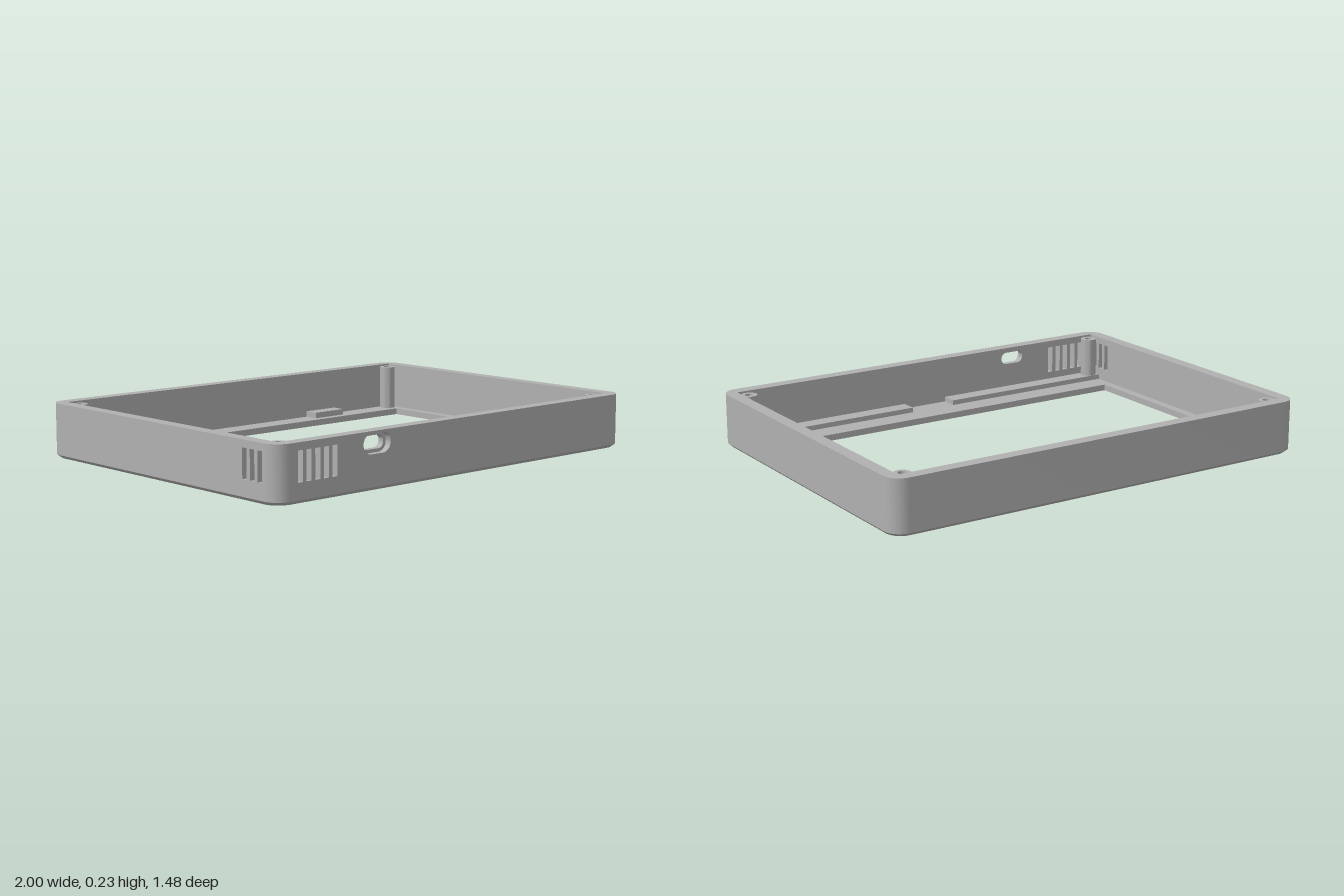
import * as THREE from 'three';
import { mergeGeometries, toCreasedNormals } from 'three/addons/utils/BufferGeometryUtils.js';

const X = 1, Z = 0.74, R = 0.07;      // outer half sizes and corner radius
const WALL = 0.055, FLOOR = 0.028, TOP = 0.235;

function rect(x0, y0, x1, y1, Type = THREE.Shape) {
  const s = new Type();
  s.moveTo(x0, y0);
  s.lineTo(x1, y0);
  s.lineTo(x1, y1);
  s.lineTo(x0, y1);
  s.closePath();
  return s;
}

// Rounded-end slot lying along x
function pill(cx, cy, w, h) {
  const p = new THREE.Path(), r = h / 2, d = w / 2 - r;
  p.absarc(cx + d, cy, r, -Math.PI / 2, Math.PI / 2, false);
  p.absarc(cx - d, cy, r, Math.PI / 2, Math.PI * 1.5, false);
  p.closePath();
  return p;
}

const vent = (u) => rect(u - 0.013, 0.082, u + 0.013, 0.204, THREE.Path);

function extrude(shape, depth, steps = 1) {
  return new THREE.ExtrudeGeometry(shape, { depth, steps, bevelEnabled: false, curveSegments: 10 });
}

// Upright wall panel with openings
function panel(half, depth, holes = []) {
  const s = rect(-half, FLOOR, half, TOP);
  s.holes.push(...holes);
  return extrude(s, depth);
}

// Vertical corner column, rounded outside
function corner(sx, sz) {
  const s = new THREE.Shape();
  s.moveTo(X - R, Z - WALL);
  s.lineTo(X - WALL, Z - WALL);
  s.lineTo(X - WALL, Z - R);
  s.lineTo(X, Z - R);
  s.absarc(X - R, Z - R, R, 0, Math.PI / 2, false);
  s.closePath();
  const pts = s.getPoints(10).map((p) => new THREE.Vector2(p.x * sx, -p.y * sz));
  const g = extrude(new THREE.Shape(pts), TOP - FLOOR);
  return g.rotateX(-Math.PI / 2).translate(0, FLOOR, 0);
}

// Bezel with the window opening and a chamfered lower outer edge
function bezel() {
  const s = new THREE.Shape(), x = X - R, z = Z - R, q = Math.PI / 2;
  s.absarc(x, z, R, 0, q, false);
  s.absarc(-x, z, R, q, 2 * q, false);
  s.absarc(-x, -z, R, 2 * q, 3 * q, false);
  s.absarc(x, -z, R, 3 * q, 4 * q, false);
  s.closePath();
  s.holes.push(rect(-0.905, -0.51, 0.905, 0.585, THREE.Path));
  const g = extrude(s, FLOOR, 2).rotateX(-Math.PI / 2);
  const p = g.attributes.position;
  for (let i = 0; i < p.count; i++) {
    const outer = Math.abs(p.getX(i)) > 0.91 || Math.abs(p.getZ(i)) > 0.6;
    if (outer && p.getY(i) < 0.001) {
      p.setX(i, p.getX(i) * 0.986);
      p.setZ(i, p.getZ(i) * 0.981);
    }
  }
  return g;
}

export function createModel() {
  const group = new THREE.Group();
  const grey = new THREE.MeshStandardMaterial({ color: 0xb0b0b0 });
  grey.name = 'grey plastic';
  const add = (name, geo) => {
    const m = new THREE.Mesh(geo, grey);
    m.name = name;
    group.add(m);
    return m;
  };

  // Shell: bezel, four walls and four corners; the port is recessed in two layers
  const vents = () => [-0.88, -0.837, -0.793, -0.75, -0.706].map(vent);
  const sideVents = [0.557, 0.602, 0.647].map(vent);
  const shell = [
    bezel(),
    panel(X - R, 0.028, [...vents(), pill(-0.485, 0.185, 0.145, 0.082)]).translate(0, 0, Z - 0.028),
    panel(X - R, WALL - 0.028, [...vents(), pill(-0.485, 0.185, 0.118, 0.055)]).translate(0, 0, Z - WALL),
    panel(X - R, WALL).translate(0, 0, -Z),
    panel(Z - R, WALL, sideVents).rotateY(-Math.PI / 2).translate(-X + WALL, 0, 0),
    panel(Z - R, WALL).rotateY(-Math.PI / 2).translate(X, 0, 0),
  ];
  for (const sx of [-1, 1]) for (const sz of [-1, 1]) shell.push(corner(sx, sz));
  add('shell', toCreasedNormals(mergeGeometries(shell), 0.5));

  // Screw posts with blind holes
  const profile = [[0.036, FLOOR], [0.036, 0.227], [0.018, 0.227], [0.018, 0.09], [0, 0.09]]
    .map(([r, y]) => new THREE.Vector2(r, y));
  const post = toCreasedNormals(new THREE.LatheGeometry(profile, 28).toNonIndexed(), 0.5);
  for (const sx of [-1, 1]) for (const z of [-0.652, 0.649]) {
    add('screwPost', post).position.set(sx * 0.907, 0, z);
  }

  // Rear pads and front rails resting on the bezel
  const block = (name, x0, x1, z0, z1, h) => add(name, new THREE.BoxGeometry(x1 - x0, h, z1 - z0))
    .position.set((x0 + x1) / 2, FLOOR + h / 2, (z0 + z1) / 2);
  block('rearPad', -0.59, -0.415, -0.688, -0.62, 0.026);
  block('rearPad', 0.41, 0.585, -0.688, -0.62, 0.026);
  block('frontRail', -0.945, -0.11, 0.612, 0.686, 0.022);
  block('frontRail', 0.107, 0.945, 0.612, 0.686, 0.022);

  return group;
}
